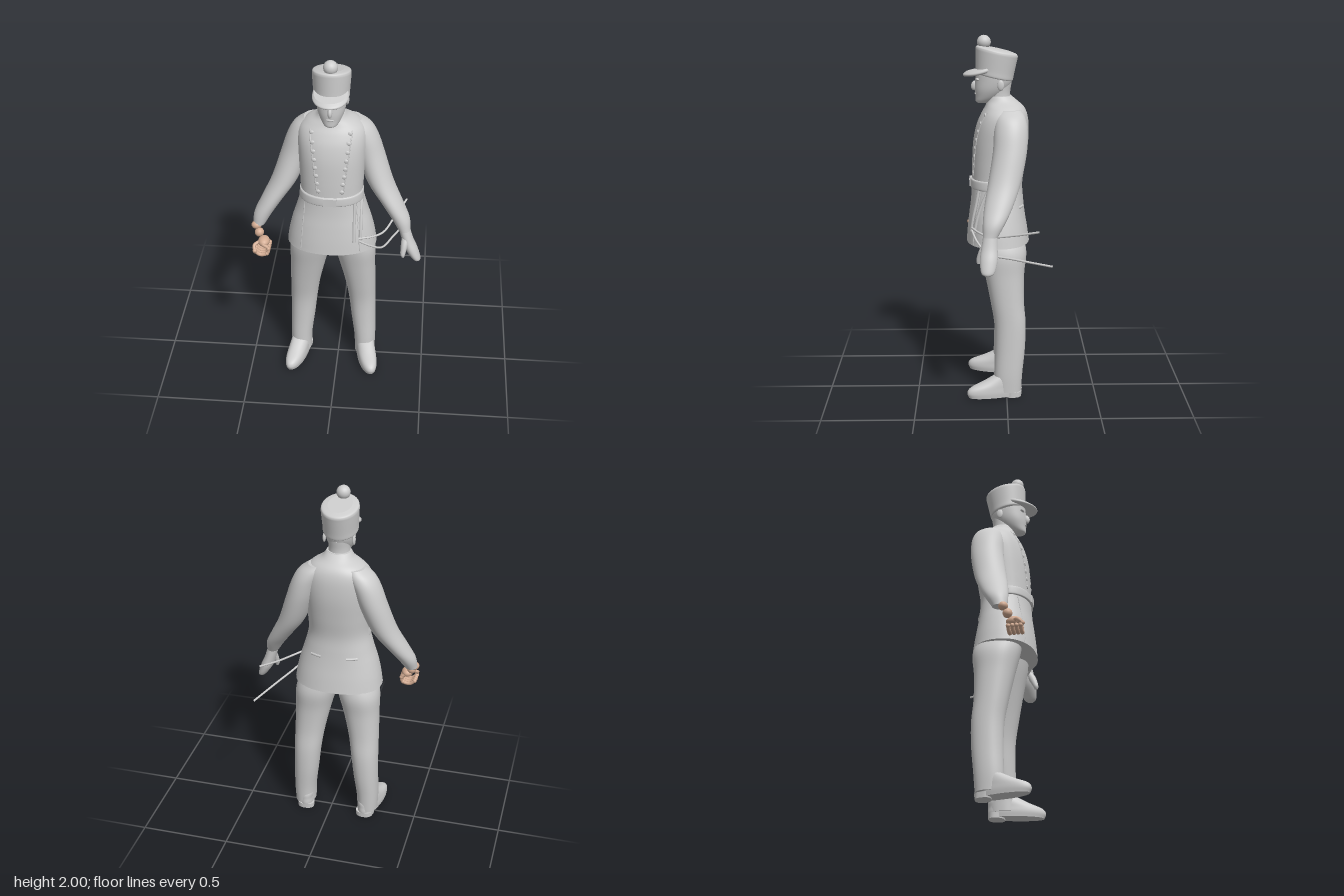
import * as THREE from 'three';

// A section is [y, xMin, xMax, zMin, zMax]; sections run from bottom to top.
function sectionAt(secs, t) {
  const f = THREE.MathUtils.clamp(t, 0, 1) * (secs.length - 1);
  const i = Math.min(Math.floor(f), secs.length - 2), u = f - i;
  const at = k => secs[THREE.MathUtils.clamp(k, 0, secs.length - 1)];
  return secs[0].map((_, c) => {
    const a = at(i)[c], b = at(i + 1)[c];
    const ta = i > 0 ? (b - at(i - 1)[c]) / 2 : b - a;
    const tb = i + 2 < secs.length ? (at(i + 2)[c] - a) / 2 : b - a;
    const u2 = u * u, u3 = u2 * u;
    return (2 * u3 - 3 * u2 + 1) * a + (u3 - 2 * u2 + u) * ta + (3 * u2 - 2 * u3) * b + (u3 - u2) * tb;
  });
}

// Smooth skin over oval sections, closed at both ends; warp may shift points.
function loft(secs, n = 2, warp = null, steps = 5, sides = 40) {
  const pos = [], idx = [], rows = (secs.length - 1) * steps;
  const add = (x, y, z) => {
    const p = new THREE.Vector3(x, y, z);
    if (warp) warp(p);
    pos.push(p.x, p.y, p.z);
  };
  const ring = s => {
    for (let j = 0; j < sides; j++) {
      const a = j / sides * Math.PI * 2, sn = Math.sin(a), cs = Math.cos(a);
      const sx = Math.sign(sn) * Math.abs(sn) ** (2 / n), sz = Math.sign(cs) * Math.abs(cs) ** (2 / n);
      add((s[1] + s[2]) / 2 + (s[2] - s[1]) / 2 * sx, s[0], (s[3] + s[4]) / 2 + (s[4] - s[3]) / 2 * sz);
    }
  };
  for (let i = 0; i <= rows; i++) ring(sectionAt(secs, i / rows));
  for (let i = 0; i < rows; i++) for (let j = 0; j < sides; j++) {
    const a = i * sides + j, b = i * sides + (j + 1) % sides;
    idx.push(a, b, b + sides, a, b + sides, a + sides);
  }
  for (const [s, top] of [[secs[0], false], [secs[secs.length - 1], true]]) {
    const base = pos.length / 3;
    ring(s);
    add((s[1] + s[2]) / 2, s[0], (s[3] + s[4]) / 2);
    for (let j = 0; j < sides; j++) {
      const a = base + j, b = base + (j + 1) % sides;
      idx.push(...(top ? [a, b, base + sides] : [b, a, base + sides]));
    }
  }
  const g = new THREE.BufferGeometry();
  g.setAttribute('position', new THREE.Float32BufferAttribute(pos, 3));
  g.setIndex(idx);
  g.computeVertexNormals();
  return g;
}

const even = rows => rows.map(([y, hx, z0, z1]) => [y, -hx, hx, z0, z1]);
const flip = (secs, s) => secs.map(([y, a, b, c, d]) => s > 0 ? [y, a, b, c, d] : [y, -b, -a, c, d]);
const tube = (pts, r, seg = 24) => new THREE.TubeGeometry(
  new THREE.CatmullRomCurve3(pts.map(p => new THREE.Vector3(...p))), seg, r, 8);

export function createModel() {
  const model = new THREE.Group();
  const figure = new THREE.Group();
  figure.name = 'soldier';
  figure.position.x = -0.03;
  model.add(figure);
  const grey = new THREE.MeshStandardMaterial({ color: 0xcccccc });
  grey.name = 'plain grey';
  const tan = new THREE.MeshStandardMaterial({ color: 0xd2ab92 });
  tan.name = 'tan skin';
  const part = (name, geo, mat = grey) => {
    const m = new THREE.Mesh(geo, mat);
    m.name = name;
    figure.add(m);
    return m;
  };
  const ball = (name, p, r, scale = [1, 1, 1], mat = grey) => {
    const m = part(name, new THREE.SphereGeometry(r, 20, 14), mat);
    m.position.set(...p);
    m.scale.set(...scale);
    return m;
  };

  // Tunic with flared skirt
  const coat = even([
    [0.865, 0.248, -0.128, 0.22], [0.94, 0.236, -0.117, 0.214], [1.02, 0.217, -0.104, 0.205],
    [1.1, 0.192, -0.095, 0.195], [1.19, 0.171, -0.09, 0.19], [1.3, 0.174, -0.106, 0.188],
    [1.42, 0.182, -0.122, 0.181], [1.51, 0.186, -0.124, 0.163], [1.57, 0.176, -0.116, 0.138],
    [1.61, 0.14, -0.098, 0.116], [1.64, 0.09, -0.066, 0.104], [1.67, 0.067, -0.03, 0.092]]);
  part('tunic', loft(coat, 2.2));
  const onCoat = (x, y, lift = 0, side = 1) => {
    let lo = 0, hi = 1;
    for (let k = 0; k < 24; k++) {
      const mid = (lo + hi) / 2;
      if (sectionAt(coat, mid)[0] < y) lo = mid; else hi = mid;
    }
    const s = sectionAt(coat, lo), q = Math.min(1, Math.abs(x / s[2])) ** 2.2;
    return [x, y, (s[3] + s[4]) / 2 + side * ((s[4] - s[3]) / 2 * (1 - q) ** (1 / 2.2) + lift)];
  };
  part('collar', loft(even([[1.635, 0.08, -0.05, 0.105], [1.655, 0.072, -0.038, 0.1], [1.672, 0.066, -0.03, 0.096]])));
  part('belt', loft(even([[1.168, 0.173, -0.07, 0.196], [1.176, 0.176, -0.07, 0.2],
    [1.212, 0.174, -0.07, 0.199], [1.22, 0.171, -0.07, 0.194]]), 2.2));
  part('beltBuckle', new THREE.BoxGeometry(0.07, 0.045, 0.01)).position.set(0, 1.195, 0.199);

  // Plastron edges and two tapering rows of soft buttons
  for (const s of [-1, 1]) {
    const rowX = y => s * (0.06 + (y - 1.24) * 0.12);
    part('plastronEdge', tube([1.24, 1.34, 1.44, 1.54, 1.59].map(y => onCoat(rowX(y) + s * 0.01, y, -0.001)), 0.004));
    for (let i = 0; i < 8; i++) {
      const y = 1.255 + i * 0.046;
      ball('button', onCoat(rowX(y), y, -0.001), 0.012, [1.1, 1, 0.5]);
    }
    // Skirt seams and back pocket flaps
    part('skirtSeam', tube([1.16, 1.06, 0.96, 0.87].map(y => onCoat(s * (0.14 + (1.16 - y) * 0.08), y, -0.001)), 0.003));
    part('pocketFlap', tube([0.07, 0.1, 0.13].map(x => onCoat(s * x, 1.07, -0.003, -1)), 0.008));
  }

  // Legs, shoes, sleeves
  const leg = [[0.035, 0.13, 0.246, -0.08, 0.072], [0.14, 0.126, 0.25, -0.088, 0.07],
    [0.28, 0.108, 0.248, -0.102, 0.066], [0.42, 0.092, 0.246, -0.106, 0.069],
    [0.55, 0.072, 0.244, -0.096, 0.09], [0.7, 0.038, 0.241, -0.098, 0.12],
    [0.82, 0.006, 0.238, -0.11, 0.146], [0.92, -0.01, 0.2, -0.09, 0.16]];
  const shoe = [[0.008, 0.136, 0.24, -0.08, 0.212], [0.035, 0.132, 0.243, -0.085, 0.221],
    [0.062, 0.133, 0.242, -0.084, 0.203], [0.092, 0.134, 0.24, -0.083, 0.135], [0.125, 0.138, 0.236, -0.07, 0.07]];
  const sleeve = [[0.975, 0.368, 0.436, 0.05, 0.13], [1.04, 0.328, 0.428, 0.012, 0.13],
    [1.12, 0.272, 0.39, -0.03, 0.122], [1.24, 0.188, 0.332, -0.076, 0.1],
    [1.39, 0.128, 0.282, -0.108, 0.075], [1.5, 0.09, 0.245, -0.114, 0.068],
    [1.565, 0.06, 0.208, -0.103, 0.06], [1.605, 0.05, 0.155, -0.08, 0.045]];
  for (const s of [-1, 1]) {
    const side = s > 0 ? 'left' : 'right';
    const splay = p => { p.x += s * Math.max(-0.05, p.z) * 0.22; };
    part(side + 'TrouserLeg', loft(flip(leg, s), 2.2));
    part(side + 'Shoe', loft(flip(shoe, s), 2.2, splay));
    part(side + 'Heel', loft(flip([[0, 0.14, 0.238, -0.082, 0.005], [0.03, 0.138, 0.24, -0.084, 0.01]], s), 2.4, splay, 1));
    part(side + 'Sleeve', loft(flip(sleeve, s)));
  }

  // Left hand as a mitten with a thumb
  part('leftHand', loft([[0.782, 0.468, 0.492, 0.09, 0.12], [0.80, 0.448, 0.497, 0.068, 0.14],
    [0.86, 0.408, 0.478, 0.052, 0.146], [0.92, 0.388, 0.452, 0.052, 0.138], [1.0, 0.365, 0.428, 0.052, 0.125]]));
  part('leftThumb', loft([[0.83, 0.392, 0.408, 0.143, 0.162], [0.85, 0.385, 0.413, 0.133, 0.165],
    [0.9, 0.386, 0.425, 0.105, 0.152], [0.94, 0.39, 0.43, 0.085, 0.13]]));

  // Right hand: beaded wrist, palm and curled fingers
  ball('rightWristBead', [-0.415, 0.97, 0.11], 0.026, [1.1, 0.9, 1], tan);
  ball('rightWristBead', [-0.398, 0.935, 0.13], 0.026, [1, 1, 1], tan);
  ball('rightPalm', [-0.37, 0.898, 0.16], 0.036, [0.9, 0.75, 1.2], tan);
  for (let i = 0; i < 4; i++) {
    const z = 0.13 + i * 0.022;
    const path = [[-0.375, 0.9, z], [-0.342, 0.872, z], [-0.35, 0.842, z + 0.004],
      [-0.388, 0.834, z + 0.006], [-0.416, 0.854, z + 0.006]];
    part('rightFinger', tube(path, 0.0105), tan);
    for (const k of [1, 2, 4]) ball('rightKnuckle', path[k], 0.012, [1, 1, 1], tan);
  }
  part('rightThumb', tube([[-0.39, 0.9, 0.165], [-0.42, 0.885, 0.19], [-0.415, 0.865, 0.212]], 0.01), tan);
  ball('rightThumbTip', [-0.415, 0.865, 0.212], 0.012, [1, 1, 1], tan);

  // Head and face
  part('neck', loft(even([[1.61, 0.062, -0.03, 0.09], [1.68, 0.058, -0.022, 0.1], [1.74, 0.06, -0.03, 0.1]])));
  part('head', loft(even([[1.632, 0.022, 0.1, 0.155], [1.642, 0.038, 0.075, 0.166], [1.67, 0.057, 0.03, 0.167],
    [1.71, 0.073, -0.01, 0.17], [1.76, 0.081, -0.035, 0.168], [1.82, 0.084, -0.03, 0.165]]), 2.1));
  const nose = ball('nose', [0, 1.727, 0.17], 0.014, [0.9, 2, 1.5]);
  nose.rotation.x = -0.25;
  ball('mouth', [0, 1.683, 0.164], 0.022, [1, 0.3, 0.35]);
  for (const s of [-1, 1]) {
    ball('brow', [s * 0.034, 1.763, 0.154], 0.022, [1.2, 0.4, 0.5]);
    ball('ear', [s * 0.081, 1.735, 0.03], 0.024, [0.35, 1.2, 0.75]);
  }

  // Tall cap tilted toward the back, with peak and pompom
  const tilt = p => { p.y += (p.z - 0.05) * 0.22; };
  part('cap', loft(even([[1.77, 0.09, -0.034, 0.16], [1.778, 0.095, -0.038, 0.166], [1.81, 0.096, -0.044, 0.166],
    [1.885, 0.101, -0.06, 0.166], [1.908, 0.101, -0.064, 0.165], [1.919, 0.094, -0.057, 0.157], [1.925, 0.065, -0.03, 0.13]]), 2, tilt));
  part('capPeak', loft(even([[1.796, 0.088, 0.02, 0.228], [1.804, 0.094, 0.02, 0.235], [1.812, 0.094, 0.02, 0.233],
    [1.82, 0.088, 0.02, 0.215]]), 2, p => { p.y -= (p.z - 0.16) * 0.28 + p.x * p.x * 1.2; }));
  ball('pompom', [0, 1.962, 0.12], 0.038);

  // Hanging straps and the two thin rods on the left hip
  for (const x of [0.13, 0.165]) {
    part('hipStrap', tube([1.17, 1.09, 1.01, 0.94].map(y => onCoat(x, y)), 0.009));
  }
  part('upperRod', tube([[0.155, 0.965, 0.19], [0.22, 0.955, 0.155], [0.285, 0.945, 0.09], [0.34, 0.965, -0.03], [0.405, 1.0, -0.17]], 0.006));
  part('lowerRod', tube([[0.155, 0.95, 0.19], [0.22, 0.9, 0.16], [0.28, 0.85, 0.1], [0.34, 0.834, -0.04], [0.42, 0.815, -0.24]], 0.006));
  return model;
}
